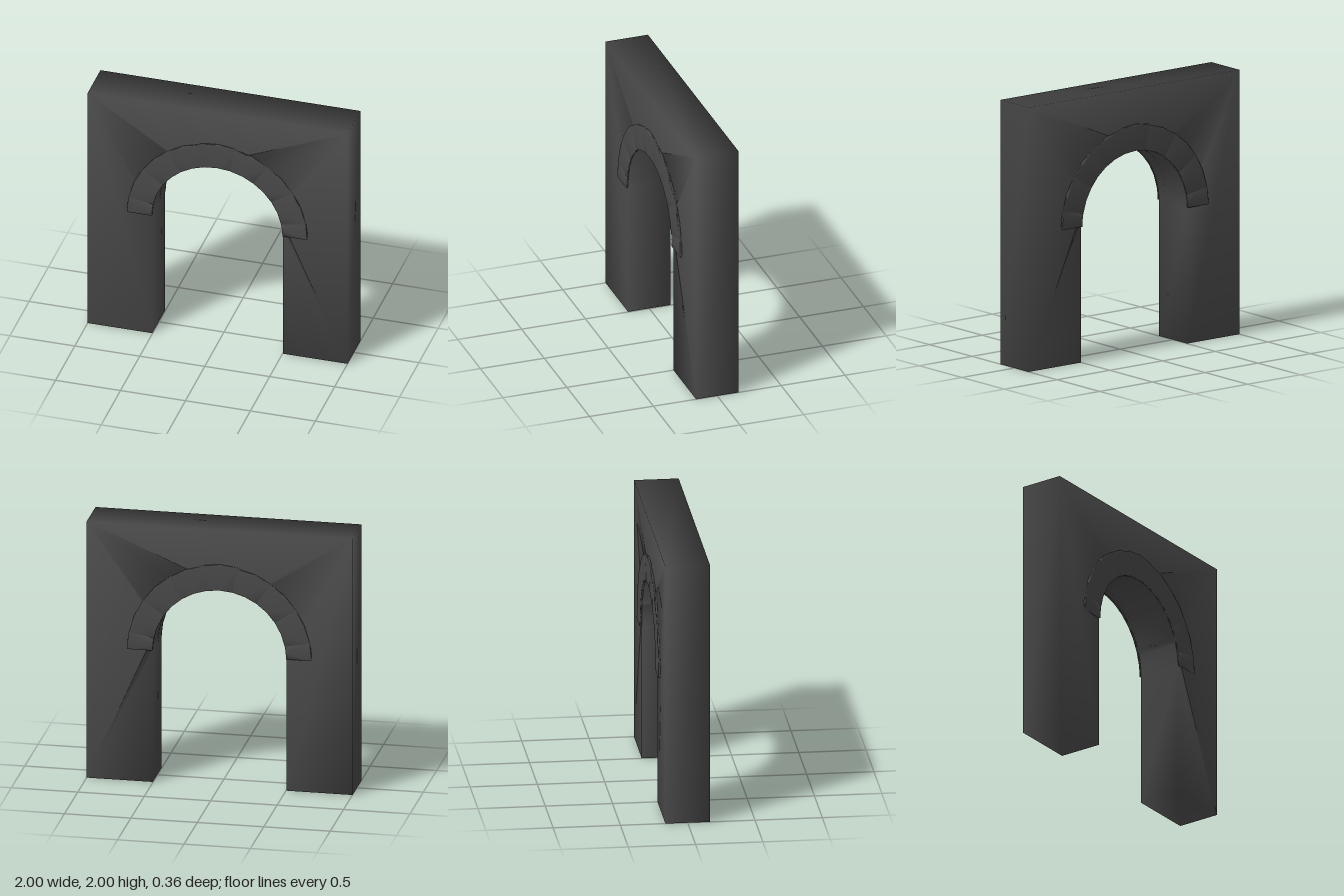
import * as THREE from 'three';
import { mergeVertices } from 'three/addons/utils/BufferGeometryUtils.js';

const HALF_DEPTH = 0.166, STONE_FRONT = 0.181;
const SPRING = 1.03, INNER = 0.503, OUTER = 0.693;

// Extrude a shape from z0 to z1 with normals blended over every edge
function softExtrude(shape, z0, z1, curveSegments = 12) {
  const geo = new THREE.ExtrudeGeometry(shape, { depth: z1 - z0, bevelEnabled: false, curveSegments });
  geo.translate(0, 0, z0);
  geo.deleteAttribute('uv');
  geo.deleteAttribute('normal');
  const merged = mergeVertices(geo, 1e-4);
  merged.computeVertexNormals();
  return merged;
}

// Wedge stone between two angles on the arch ring
function stoneShape(a0, a1, outer) {
  const steps = 2, points = [];
  const at = (r, a) => new THREE.Vector2(r * Math.cos(a), SPRING + r * Math.sin(a));
  for (let i = 0; i <= steps; i++) points.push(at(outer, a0 + (a1 - a0) * i / steps));
  for (let i = steps; i >= 0; i--) points.push(at(INNER, a0 + (a1 - a0) * i / steps));
  return new THREE.Shape(points);
}

export function createModel() {
  const group = new THREE.Group();
  group.name = 'archway';
  const stone = new THREE.MeshStandardMaterial({ color: 0x4a4a4a });
  stone.name = 'dark stone';

  // Wall with two piers and a round-headed opening
  const outline = new THREE.Shape();
  outline.moveTo(-1, 0);
  outline.lineTo(-INNER, 0);
  outline.lineTo(-INNER, SPRING);
  outline.absarc(0, SPRING, INNER, Math.PI, 0, true);
  outline.lineTo(INNER, 0);
  outline.lineTo(1, 0);
  outline.lineTo(1, 2);
  outline.lineTo(-1, 2);
  outline.closePath();
  const wall = new THREE.Mesh(softExtrude(outline, -HALF_DEPTH, HALF_DEPTH, 24), stone);
  wall.name = 'wall';
  group.add(wall);

  // Nine raised arch stones on each face, with half stones at the springing
  const step = Math.PI / 8;
  for (const side of ['front', 'back']) {
    const ring = new THREE.Group();
    ring.name = side + 'ArchStones';
    for (let i = 0; i < 9; i++) {
      const a0 = Math.max(0, (i - 0.5) * step);
      const a1 = Math.min(Math.PI, (i + 0.5) * step);
      const isKey = i === 4;
      const shape = stoneShape(a0, a1, isKey ? OUTER + 0.008 : OUTER);
      const mesh = new THREE.Mesh(softExtrude(shape, HALF_DEPTH, STONE_FRONT), stone);
      mesh.name = isKey ? 'keystone' : 'archStone';
      ring.add(mesh);
    }
    if (side === 'back') ring.rotation.y = Math.PI;
    group.add(ring);
  }
  return group;
}
